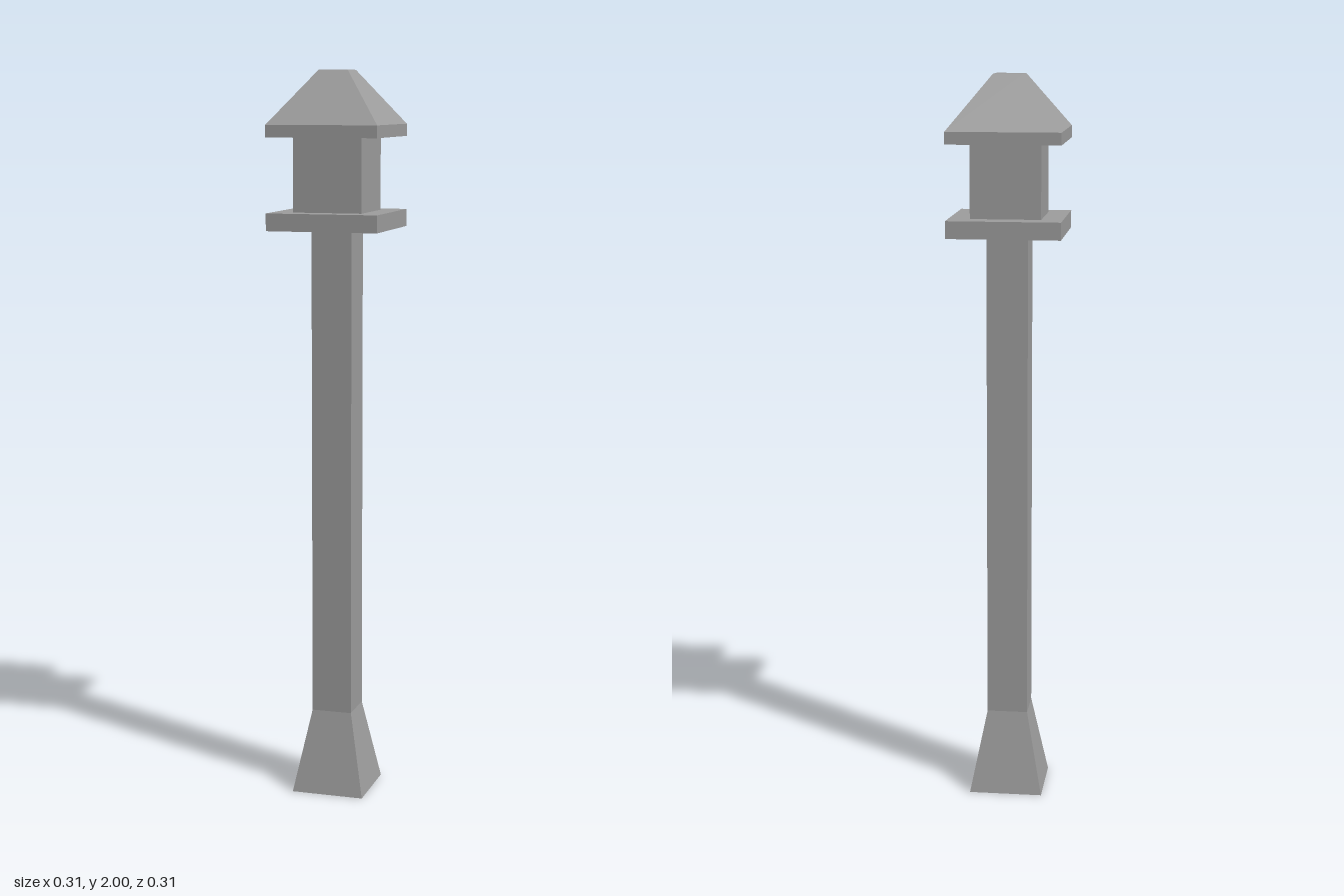
import * as THREE from 'three';

const grey = 0x9d9d9d;
const material = new THREE.MeshStandardMaterial({ color: grey, flatShading: true });
const shellMaterial = new THREE.MeshStandardMaterial({
  color: grey, flatShading: true, side: THREE.DoubleSide,
});

// Square frustum between two heights, given half-widths at bottom and top
function squareFrustum(name, y0, y1, half0, half1, open = false) {
  const geometry = new THREE.CylinderGeometry(
    half1 * Math.SQRT2, half0 * Math.SQRT2, y1 - y0, 4, 1, open);
  geometry.rotateY(Math.PI / 4);
  geometry.translate(0, (y0 + y1) / 2, 0);
  const mesh = new THREE.Mesh(geometry, open ? shellMaterial : material);
  mesh.name = name;
  return mesh;
}

export function createModel() {
  const post = new THREE.Group();
  post.name = 'lanternPost';

  // Hollow post, flared at the foot and open underneath
  post.add(squareFrustum('flaredBase', 0, 0.23, 0.101, 0.056, true));
  post.add(squareFrustum('shaft', 0.23, 1.577, 0.056, 0.056, true));

  // Lantern head
  const lantern = new THREE.Group();
  lantern.name = 'lantern';
  lantern.add(squareFrustum('platform', 1.577, 1.624, 0.153, 0.153));
  lantern.add(squareFrustum('lampHousing', 1.624, 1.823, 0.095, 0.095));
  lantern.add(squareFrustum('eaves', 1.823, 1.856, 0.153, 0.153));
  lantern.add(squareFrustum('roof', 1.856, 2, 0.153, 0.04));
  post.add(lantern);

  return post;
}
